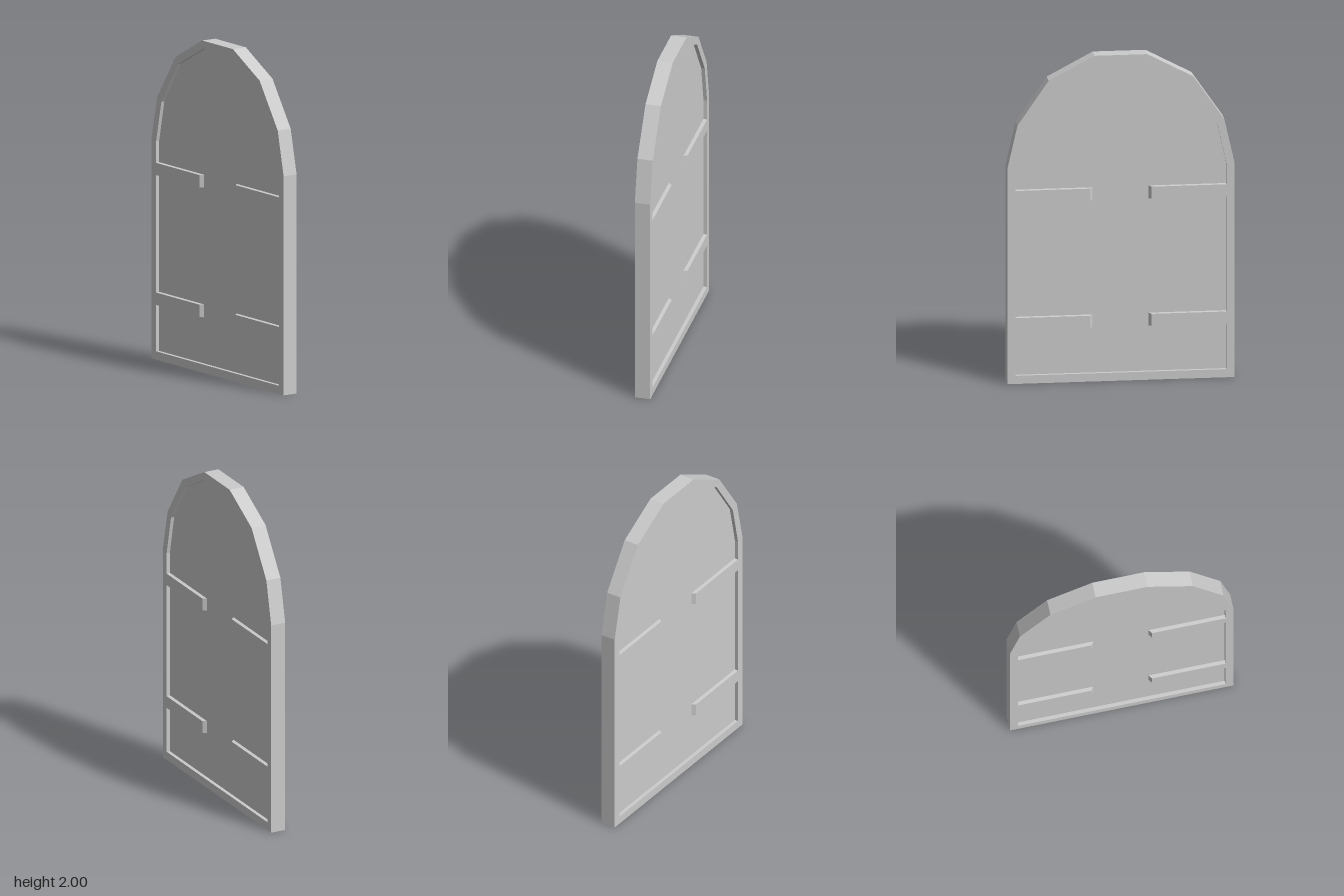
import * as THREE from 'three';

const HALF = 0.047;   // half thickness of the door
const RECESS = 0.022; // depth of the sunken panel on each side
const material = new THREE.MeshStandardMaterial({ color: 0xcccccc, flatShading: true });

// Closed symmetric outline from the points of its +x half, bottom to top
function outline(half) {
  const mirrored = half.map(([x, y]) => [-x, y]).reverse();
  return [...half, ...mirrored].map(([x, y]) => new THREE.Vector2(x, y));
}

function slab(name, shape, depth) {
  const geometry = new THREE.ExtrudeGeometry(shape, { depth, bevelEnabled: false });
  geometry.translate(0, 0, -depth / 2);
  const mesh = new THREE.Mesh(geometry, material);
  mesh.name = name;
  return mesh;
}

// Strap running inward from the rim, with a sloping inner end
function strapGeometry() {
  const inner = 0.167, outer = 0.627, height = 0.078;
  const geometry = new THREE.BoxGeometry(outer - inner, height, RECESS);
  geometry.translate((inner + outer) / 2, 0, HALF - RECESS / 2);
  const p = geometry.attributes.position;
  for (let i = 0; i < p.count; i++) {
    if (p.getZ(i) < HALF - 0.001) continue;
    p.setY(i, p.getY(i) - Math.sign(p.getY(i)) * 0.002);
    if (p.getX(i) < 0.3) p.setX(i, inner + 0.016);
  }
  geometry.computeVertexNormals();
  return geometry;
}

export function createModel() {
  const group = new THREE.Group();
  group.name = 'archedDoor';

  const outer = outline([[0.675, 0], [0.675, 1.32], [0.615, 1.585], [0.43, 1.855], [0.157, 2]]);
  const inner = outline([[0.627, 0.05], [0.627, 1.315], [0.573, 1.562], [0.4, 1.818], [0.146, 1.953]]);

  // Raised rim around the door
  const rimShape = new THREE.Shape(outer);
  rimShape.holes.push(new THREE.Path(inner));
  group.add(slab('rim', rimShape, HALF * 2));

  // Sunken panel
  group.add(slab('panel', new THREE.Shape(inner), (HALF - RECESS) * 2));

  // Hinge straps: two heights, both sides, front and back
  const right = strapGeometry();
  const left = right.clone().rotateZ(Math.PI);
  for (const y of [0.367, 1.148]) {
    for (const [side, geometry] of [['left', right], ['right', left]]) {
      for (const [face, turn] of [['Front', 0], ['Back', Math.PI]]) {
        const strap = new THREE.Mesh(geometry, material);
        strap.name = `${side}${face}HingeStrap`;
        strap.position.y = y;
        strap.rotation.x = turn;
        group.add(strap);
      }
    }
  }
  return group;
}
